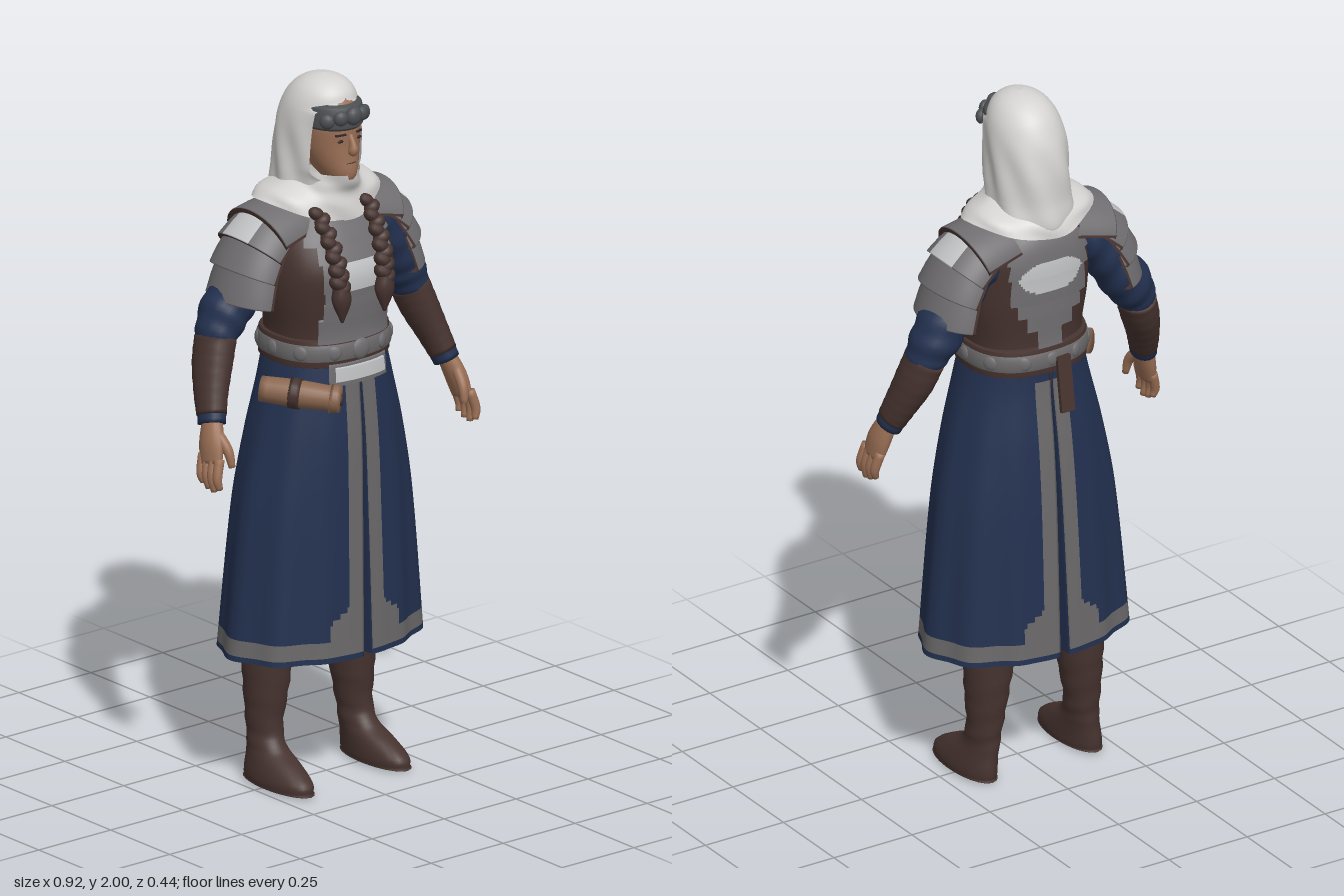
import * as THREE from 'three';

const paint = (name, color) => Object.assign(new THREE.MeshStandardMaterial({ color, side: THREE.DoubleSide }), { name });

export function createModel() {
  const cloth = paint('white cloth', 0xd4d3d1), navy = paint('navy wool', 0x233150), steel = paint('grey steel', 0x6f6d6f);
  const bright = paint('bright steel', 0xc2c3c4), trim = paint('grey trim', 0x6a6869), leather = paint('brown leather', 0x46332f);
  const skin = paint('skin', 0x9a6f55), dark = paint('dark hair', 0x35262a), band = paint('headband', 0x4c4f52), tan = paint('tan hide', 0x8a664f);
  const model = new THREE.Group();
  const body = new THREE.Group();
  body.name = 'figure';
  body.position.x = -0.012;
  model.add(body);

  const add = (name, geo, mat, x = 0, y = 0, z = 0) => {
    const m = new THREE.Mesh(geo, mat);
    m.name = name;
    m.position.set(x, y, z);
    body.add(m);
    return m;
  };

  // Grid surface; pick chooses a material for each cell
  function surface(name, nu, nv, fn, mats, closed = false, pick = () => 0) {
    mats = [mats].flat();
    const pos = [], w = closed ? nu : nu + 1, lists = mats.map(() => []);
    for (let j = 0; j <= nv; j++) for (let i = 0; i < w; i++) pos.push(...fn(i / nu, j / nv));
    for (let j = 0; j < nv; j++) for (let i = 0; i < nu; i++) {
      const a = j * w + i, b = j * w + (i + 1) % w;
      lists[pick((i + 0.5) / nu, (j + 0.5) / nv)].push(a, b, b + w, a, b + w, a + w);
    }
    const g = new THREE.BufferGeometry();
    g.setAttribute('position', new THREE.Float32BufferAttribute(pos, 3));
    g.setIndex(lists.flat());
    let start = 0;
    lists.forEach((l, k) => { g.addGroup(start, l.length, k); start += l.length; });
    g.computeVertexNormals();
    return add(name, g, mats.length > 1 ? mats : mats[0]);
  }

  // Smooth interpolation of [y, cx, cz, rx, rz] rings
  function ringAt(R, y) {
    let i = 0;
    while (i < R.length - 2 && y > R[i + 1][0]) i++;
    const h = R[i + 1][0] - R[i][0], t = (y - R[i][0]) / h;
    const slope = (k, c) => {
      const p = R[Math.max(k - 1, 0)], q = R[Math.min(k + 1, R.length - 1)];
      return (q[c] - p[c]) / (q[0] - p[0]);
    };
    return [1, 2, 3, 4].map(c => R[i][c] * (1 + 2 * t) * (1 - t) ** 2 + R[i + 1][c] * t * t * (3 - 2 * t)
      + h * (slope(i, c) * t * (1 - t) ** 2 + slope(i + 1, c) * t * t * (t - 1)));
  }
  // Point on a rounded-box section; angle 0 is the front
  function ringPoint(R, a, y, off = 0, n = 2) {
    const [cx, cz, rx, rz] = ringAt(R, y), s = Math.sin(a), c = Math.cos(a);
    const r = (Math.abs(s / rx) ** n + Math.abs(c / rz) ** n) ** (-1 / n) + off;
    return [cx + r * s, y, cz + r * c];
  }
  const rowY = (R, v) => {
    const k = Math.min(v * (R.length - 1), R.length - 1.0001), i = Math.floor(k);
    return R[i][0] + (R[i + 1][0] - R[i][0]) * (k - i);
  };
  const loft = (name, R, mat, n = 2, off = () => 0) => surface(name, 48, (R.length - 1) * 4,
    (u, v) => ringPoint(R, u * 2 * Math.PI, rowY(R, v), off(u * 2 * Math.PI, rowY(R, v)), n), mat, true);

  // Tube through [x, y, z, rx, rz] points, closed at both ends
  function limb(name, pts, mat, nv = 16, ripple = 0) {
    const path = new THREE.CatmullRomCurve3(pts.map(p => new THREE.Vector3(p[0], p[1], p[2])), false, 'catmullrom');
    const size = new THREE.CatmullRomCurve3(pts.map(p => new THREE.Vector3(p[3], p[4] ?? p[3], 0)), false, 'catmullrom');
    return surface(name, 20, nv, (u, v) => {
      const t = THREE.MathUtils.clamp((v * nv - 1) / (nv - 2), 0, 1), end = v === 0 || v === 1 ? 0 : 1;
      const d = path.getTangent(t), X = d.clone().cross(new THREE.Vector3(0, 0, 1)).normalize(), Z = X.clone().cross(d);
      const a = u * 2 * Math.PI, r = size.getPoint(t), k = end * (1 + ripple * Math.sin(t * 40 + 2 * Math.sin(a)));
      return path.getPoint(t).addScaledVector(X, Math.sin(a) * r.x * k).addScaledVector(Z, Math.cos(a) * r.y * k).toArray();
    }, mat, true);
  }

  // Torso with overlapping breast and back plates
  const torso = [[1.15, 0, 0.003, 0.172, 0.145], [1.22, 0, 0.003, 0.168, 0.148], [1.3, 0, 0.005, 0.166, 0.14], [1.4, 0, 0.008, 0.182, 0.15],
    [1.48, 0, 0.008, 0.185, 0.155], [1.56, 0, -0.01, 0.17, 0.14], [1.62, 0, -0.02, 0.13, 0.115], [1.67, 0, -0.01, 0.07, 0.08]];
  loft('leatherJerkin', torso, leather, 2.4);
  const plate = (name, y0, y1, mid, half, mats, pick, out = 0.012) => surface(name, 40, 12, (u, v) =>
    ringPoint(torso, mid + (u - 0.5) * 2 * half, y0 + Math.min(v * 12 / 11, 1) * (y1 - y0), v === 1 ? 0 : out - 0.006 * v, 2.4), mats, false, pick);
  [[1.28, 1.35, 0.78, 0.25], [1.345, 1.395, 0.7, 0.45], [1.39, 1.435, 0.68, 0.6], [1.43, 1.515, 0.7, 0.7], [1.51, 1.56, 0.75, 0.76], [1.555, 1.63, 0.95, 0.82]].forEach(([a, b, front, back], i) => {
    plate('breastPlate', a, b, 0, front, [steel, bright], u => i === 3 && Math.abs(u - 0.5) < 0.37 ? 1 : 0);
    plate('backPlate', a, b, Math.PI, back, [steel, bright], (u, v) =>
      ((u - 0.5) * 2 * back / 0.6) ** 2 + ((a + v * (b - a) - 1.505) / 0.05) ** 2 < 1 ? 1 : 0);
  });

  // Belt, bosses, front apron plate and hanging strap
  loft('beltLining', [[1.21, 0, 0.003, 0.165, 0.145], [1.214, 0, 0.003, 0.176, 0.155], [1.288, 0, 0.003, 0.174, 0.152], [1.292, 0, 0.003, 0.16, 0.14]], leather, 2.4);
  loft('belt', [[1.228, 0, 0.003, 0.168, 0.148], [1.232, 0, 0.003, 0.18, 0.159], [1.276, 0, 0.003, 0.178, 0.156], [1.28, 0, 0.003, 0.165, 0.14]], trim, 2.4);
  for (let i = 0; i < 12; i++) {
    const a = i * Math.PI / 6, [x, y, z] = ringPoint(torso, a, 1.254, 0.012, 2.4);
    const boss = add('beltBoss', new THREE.SphereGeometry(i ? 0.021 : 0.03, 14, 10), steel, x, y, z);
    boss.scale.z = 0.4;
    boss.rotation.y = a;
  }
  plate('apronBacking', 1.16, 1.222, 0, 0.6, steel, undefined, 0.016);
  plate('apronPlate', 1.174, 1.213, 0, 0.5, bright, undefined, 0.022);
  const strap = add('beltStrap', new THREE.BoxGeometry(0.042, 0.16, 0.012), leather, -0.03, 1.18, -0.172);
  strap.rotation.x = 0.15;

  // Split skirt with bordered, folded-in slits and hem
  const skirt = [[0.385, 0, -0.013, 0.305, 0.206], [0.8, 0, -0.006, 0.263, 0.188], [1.0, 0, 0, 0.225, 0.175], [1.15, 0, 0.004, 0.188, 0.158], [1.235, 0, 0.003, 0.168, 0.15]];
  for (const s of [1, -1]) {
    const knots = [0, 0.04, 0.12, 0.2, 0.8, 0.88, 0.96, 1];
    surface('skirtPanel', 100, 57, (u, v) => {
      if (s < 0) u = 1 - u;
      const y = 0.385 + v * 0.85, rz = ringAt(skirt, y)[3], gap = 0.003 + 0.012 * (1 - v);
      const e = [gap, gap, gap + 0.048, gap + 0.113].map(x => Math.atan(x / rz));
      const as = [...e, ...e.map(x => Math.PI - x).reverse()];
      let i = 0;
      while (i < 6 && u > knots[i + 1]) i++;
      const a = as[i] + (as[i + 1] - as[i]) * (u - knots[i]) / (knots[i + 1] - knots[i]);
      const flap = -0.05 * Math.max(0, 1 - Math.min(u, 1 - u) / 0.04);
      const folds = (1 - v) * (0.008 * Math.sin(a * 13) - 0.012 * Math.sin(2 * a) ** 4) * Math.sin(a) ** 2;
      return ringPoint(skirt, s * a, y, flap + folds, 2.2);
    }, [navy, trim], false, (u, v) => {
      const d = Math.min(u, 1 - u), y = 0.385 + v * 0.85;
      if (y < 0.4 || d < 0.045) return 0;
      return y < 0.445 || d < 0.12 && y < 1.19 || d < 0.2 && y < 0.53 - (d - 0.12) * 0.5 ? 1 : 0;
    });
  }

  for (const s of [1, -1]) {
    // Boots
    const splay = (y, x, z, rx, rz) => [y, s * x, z, rx, rz];
    loft('boot', [splay(0, 0.168, 0.018, 0.001, 0.001), splay(0.003, 0.168, 0.018, 0.046, 0.122), splay(0.01, 0.168, 0.018, 0.054, 0.132), splay(0.035, 0.167, 0.014, 0.055, 0.13),
      splay(0.07, 0.163, -0.012, 0.05, 0.1), splay(0.1, 0.159, -0.042, 0.045, 0.07), splay(0.15, 0.156, -0.058, 0.046, 0.056), splay(0.25, 0.15, -0.06, 0.058, 0.065),
      splay(0.36, 0.143, -0.06, 0.07, 0.071), splay(0.5, 0.13, -0.05, 0.075, 0.075), splay(0.8, 0.11, -0.03, 0.08, 0.08)], leather, 2,
      (a, y) => y > 0.1 && y < 0.35 ? 0.002 * Math.sin(y * 90 + 2 * Math.sin(a)) : 0);

    // Arms
    const side = pts => pts.map(([x, ...r]) => [s * x, ...r]);
    limb('sleeve', side([[0.1, 1.57, -0.03, 0.055, 0.08], [0.18, 1.53, -0.035, 0.064, 0.08], [0.24, 1.45, -0.04, 0.06, 0.078],
      [0.297, 1.375, -0.05, 0.068, 0.074], [0.335, 1.31, -0.045, 0.055, 0.062], [0.345, 1.27, -0.04, 0.04, 0.045]]), navy, 44, 0.035);
    limb('bracer', side([[0.337, 1.305, -0.045, 0.052, 0.064], [0.36, 1.24, -0.03, 0.05, 0.062], [0.385, 1.17, -0.005, 0.042, 0.053], [0.402, 1.115, 0.018, 0.037, 0.045]]), leather, 20, 0.012);
    limb('cuff', side([[0.398, 1.125, 0.014, 0.036, 0.044], [0.408, 1.093, 0.026, 0.035, 0.042]]), navy, 6);
    limb('palm', side([[0.405, 1.11, 0.025, 0.024, 0.03], [0.424, 1.05, 0.045, 0.025, 0.042], [0.436, 0.995, 0.058, 0.018, 0.041]]), skin, 12);
    for (let k = 0; k < 4; k++) {
      const z = 0.092 - 0.023 * k;
      limb('finger', side([[0.435, 1.015, z, 0.014], [0.449, 0.965, z + 0.008, 0.013], [0.444, 0.92 + Math.abs(k - 1.3) * 0.011, z + 0.012, 0.009]]), skin, 10);
    }
    limb('thumb', side([[0.415, 1.075, 0.06, 0.016], [0.408, 1.035, 0.095, 0.014], [0.404, 0.99, 0.108, 0.009]]), skin, 10);

    // Shoulder guard of four overlapping lames
    const P = [[0.13, 1.672], [0.222, 1.64], [0.276, 1.58], [0.31, 1.503], [0.326, 1.415]];
    for (let i = 0; i < 4; i++) {
      const [p, q] = [P[i], P[i + 1]], len = Math.hypot(q[0] - p[0], q[1] - p[1]);
      const N = [(p[1] - q[1]) / len, (q[0] - p[0]) / len];
      surface('shoulderLame', 40, 4, (u, v) => {
        const k = Math.round(v * 4), t = [-0.12, 0.5, 1.02, 1.06, 1.06][k], off = [-0.004, 0.005, 0.01, 0.009, -0.006][k];
        const a = (u - 0.5) * 2.9 * s, drop = off - 0.1 * (1 - Math.cos(a));
        return [s * (p[0] + (q[0] - p[0]) * t + N[0] * drop), p[1] + (q[1] - p[1]) * t + N[1] * drop, -0.032 + (0.118 + off) * Math.sin(a)];
      }, [steel, bright, leather], false, (u, v) => v > 0.75 || Math.abs(u - 0.5) > 0.47 ? 2 : i === 1 && Math.abs(u - 0.5) < 0.14 ? 1 : 0);
    }

    // Braid with tassel
    const x = s > 0 ? 0.073 : -0.1;
    const braid = new THREE.CatmullRomCurve3([[1.645, 0.1], [1.58, 0.145], [1.51, 0.176], [1.45, 0.184]].map(([y, z]) => new THREE.Vector3(x - s * (1.64 - y) * 0.05, y, z)));
    for (let k = 0; k < 12; k++) {
      const c = braid.getPoint(k / 11), knot = add('braidKnot', new THREE.SphereGeometry(0.021 + 0.004 * k / 11, 12, 8), leather, c.x + (k % 2 ? 0.005 : -0.005), c.y, c.z);
      knot.rotation.z = k % 2 ? 0.6 : -0.6;
      knot.scale.set(1.15, 0.85, 1);
    }
    limb('braidTassel', [[x - s * 0.01, 1.46, 0.185, 0.02], [x - s * 0.012, 1.415, 0.187, 0.028, 0.024], [x - s * 0.013, 1.355, 0.188, 0.004]], leather, 12);

    // Eyes and brows
    add('eye', new THREE.SphereGeometry(0.011, 12, 8), dark, s * 0.03, 1.838, 0.113).scale.set(1.1, 0.4, 0.3);
    const brow = add('brow', new THREE.BoxGeometry(0.03, 0.005, 0.008), dark, s * 0.031, 1.856, 0.113);
    brow.rotation.set(0, s * 0.45, s * -0.1);
  }

  // Face
  loft('face', [[1.705, 0, 0.06, 0.02, 0.03], [1.72, 0, 0.06, 0.035, 0.058], [1.745, 0, 0.047, 0.05, 0.08], [1.78, 0, 0.037, 0.064, 0.086],
    [1.82, 0, 0.03, 0.073, 0.09], [1.88, 0, 0.026, 0.077, 0.094], [1.94, 0, 0.015, 0.068, 0.085], [1.97, 0, 0.01, 0.03, 0.04]], skin);
  limb('nose', [[0, 1.855, 0.112, 0.008, 0.008], [0, 1.828, 0.125, 0.009, 0.012], [0, 1.81, 0.129, 0.014, 0.015], [0, 1.8, 0.12, 0.009, 0.009]], skin, 12);
  add('mouth', new THREE.SphereGeometry(0.018, 14, 8), leather, 0, 1.773, 0.119).scale.set(1, 0.18, 0.3);

  // Studded headband
  const brow = [[1.868, 0, 0.024, 0.079, 0.098], [1.876, 0, 0.024, 0.085, 0.105], [1.928, 0, 0.022, 0.083, 0.102], [1.938, 0, 0.02, 0.07, 0.088]];
  loft('headband', brow, band);
  for (let i = -2; i <= 2; i++) {
    const [x, y, z] = ringPoint(brow, i * 0.36, 1.91 - 0.003 * i * i, 0.003);
    const stud = add('headbandStud', new THREE.SphereGeometry(i ? 0.021 : 0.026, 14, 10), band, x, y, z);
    stud.rotation.y = i * 0.36;
    stud.scale.z = 0.7;
  }

  // Hood with a face opening
  const hood = [[1.625, 0, -0.05, 0.1, 0.11], [1.66, 0, -0.045, 0.112, 0.122], [1.72, 0, -0.035, 0.111, 0.124], [1.8, 0, -0.033, 0.108, 0.122], [1.87, 0, -0.024, 0.105, 0.118],
    [1.92, 0, -0.012, 0.097, 0.11], [1.955, 0, -0.003, 0.082, 0.096], [1.98, 0, 0.002, 0.06, 0.07], [1.994, 0, 0.004, 0.032, 0.038], [2, 0, 0.004, 0.001, 0.001]];
  const step = THREE.MathUtils.smoothstep;
  surface('hood', 64, 72, (u, v) => {
    const y = rowY(hood, v), open = step(y, 1.68, 1.75) * (1 - step(y, 1.915, 1.95)), a0 = 0.8 * open;
    const a = a0 + u * (2 * Math.PI - 2 * a0);
    const fold = 0.004 * Math.sin(a * 7 + y * 22) * (1 - step(y, 1.78, 1.93));
    return ringPoint(hood, a, y, fold + 0.008 * open * Math.exp(-30 * Math.min(u, 1 - u)));
  }, cloth);

  // Cowl spreading over the shoulders
  const cowl = [[1.625, 0, -0.03, 0.188, 0.142], [1.66, 0, -0.027, 0.165, 0.135], [1.69, 0, -0.015, 0.112, 0.12], [1.715, 0, 0.005, 0.085, 0.111], [1.74, 0, 0.022, 0.074, 0.101]];
  surface('cowl', 56, 20, (u, v) => {
    const a = u * 2 * Math.PI, p = ringPoint(cowl, a, rowY(cowl, v), 0.004 * Math.sin(a * 6 + v * 9) * (1 - v * 0.5));
    p[1] += (1 - v) * (0.04 * Math.sin(a) ** 2 - 0.018 * Math.max(0, Math.cos(a)));
    return p;
  }, cloth, true);

  // Rolled hide at the right hip
  limb('hideRoll', [[-0.245, 1.16, 0.035, 0.035], [-0.18, 1.152, 0.115, 0.038], [-0.112, 1.142, 0.188, 0.034]], tan, 12);
  limb('hideRollStrap', [[-0.195, 1.154, 0.097, 0.042], [-0.175, 1.151, 0.12, 0.042]], leather, 6);
  limb('hideRollEnd', [[-0.12, 1.143, 0.178, 0.04], [-0.1, 1.14, 0.199, 0.036]], tan, 6);
  limb('hideRollCore', [[-0.115, 1.142, 0.184, 0.016], [-0.097, 1.139, 0.203, 0.016]], leather, 6);

  return model;
}
